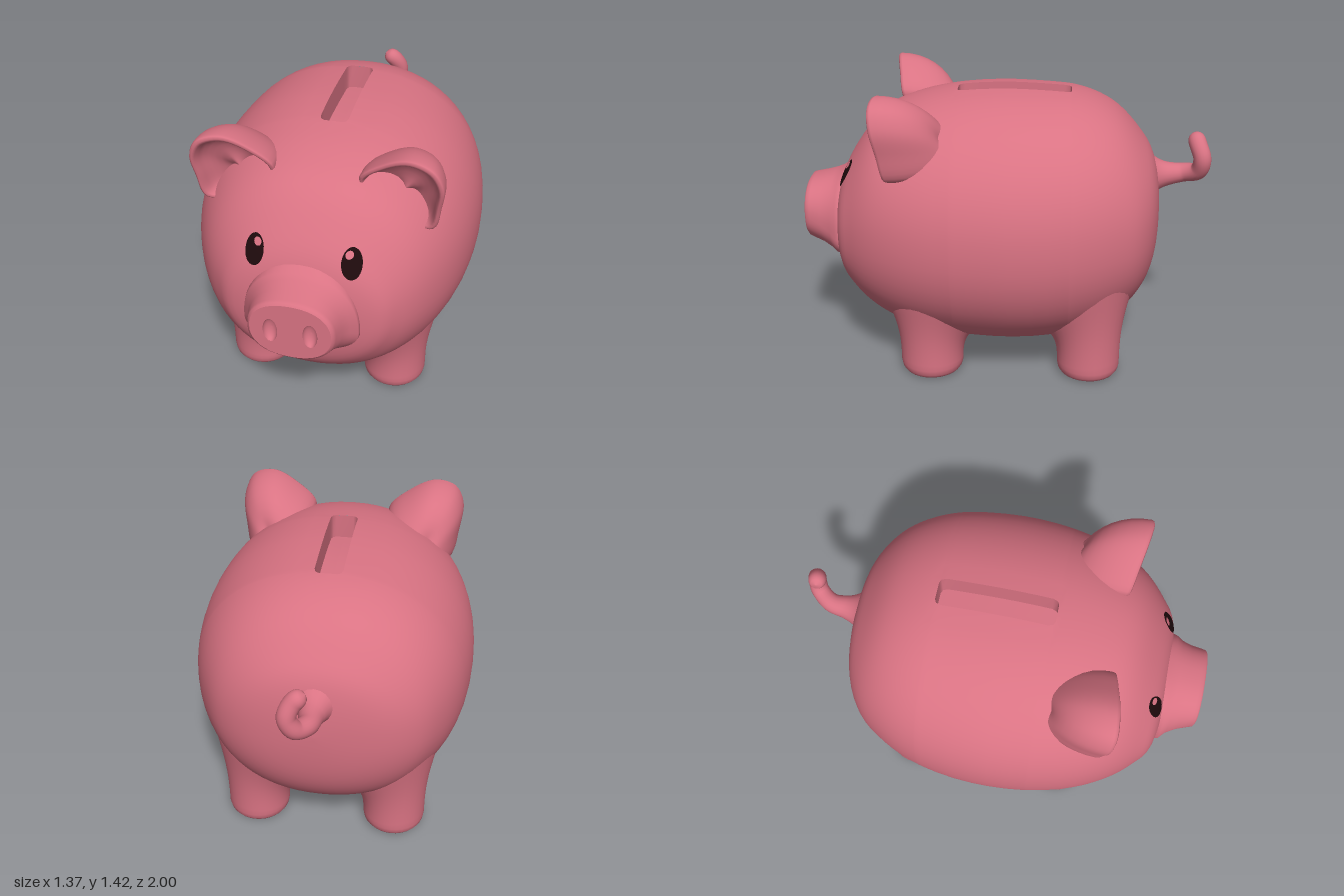
import * as THREE from 'three';

const pink = new THREE.MeshStandardMaterial({ color: 0xd97383 });
pink.name = 'pink';
const black = new THREE.MeshStandardMaterial({ color: 0x1e0a0c });
black.name = 'eyeBlack';

const V = (x, y, z) => new THREE.Vector3(x, y, z);
const TAU = Math.PI * 2;

// Skin over closed rings; rings run counter-clockwise around the direction of advance.
function loft(rings, { flip = false, skip = () => false } = {}) {
  const n = rings[0].length, index = [];
  for (let i = 0; i < rings.length - 1; i++) {
    for (let j = 0; j < n; j++) {
      if (skip(i, j)) continue;
      const a = i * n + j, b = i * n + (j + 1) % n, c = b + n, d = a + n;
      if (flip) index.push(a, d, b, b, d, c);
      else index.push(a, b, d, b, c, d);
    }
  }
  const geo = new THREE.BufferGeometry().setFromPoints(rings.flat());
  geo.setIndex(index);
  geo.computeVertexNormals();
  return geo;
}
const ringOf = (n, f) => Array.from({ length: n }, (_, j) => f(j / n * TAU, j));

// Body sections from tail to face, evenly spaced in angle: top, bottom, half width
const profile = new THREE.CatmullRomCurve3([
  [0.76, 0.76, 0], [1.01, 0.5, 0.28], [1.15, 0.33, 0.455], [1.275, 0.215, 0.56],
  [1.345, 0.14, 0.635], [1.365, 0.105, 0.675], [1.37, 0.1, 0.685], [1.355, 0.115, 0.665],
  [1.315, 0.15, 0.615], [1.24, 0.215, 0.535], [1.09, 0.315, 0.43], [0.93, 0.45, 0.31],
  [0.7, 0.7, 0],
].map(p => V(...p)), false, 'catmullrom', 0.5);
const MID = 0.04, HALF = 0.8, POW = 2.15;

function section(z) {
  const s = THREE.MathUtils.clamp((z - MID) / HALF, -1, 1);
  const p = profile.getPoint(Math.asin(s) / Math.PI + 0.5);
  return { c: (p.x + p.y) / 2, h: (p.x - p.y) / 2, w: Math.max(p.z, 0) };
}
// Height of the body surface above (side 1) or below (side -1) a point
function bodyY(x, z, side) {
  const { c, h, w } = section(z);
  return c + side * h * Math.pow(Math.max(0, 1 - Math.pow(Math.abs(x) / w, POW)), 1 / POW);
}
// Front surface of the body at x, y
function bodyZ(x, y) {
  let lo = 0.2, hi = MID + HALF;
  for (let k = 0; k < 30; k++) {
    const z = (lo + hi) / 2, { c, h, w } = section(z);
    const f = Math.pow(Math.abs(x) / w, POW) + Math.pow(Math.abs(y - c) / h, POW);
    if (f < 1) lo = z; else hi = z;
  }
  return lo;
}

// Coin slot outline
const SLOT0 = -0.315, SLOT1 = 0.24;
const slotZ = [0, 0.008, 0.03, 0.1, 0.19].map(o => SLOT0 + o);
slotZ.push(-0.03, 0.05, ...[0.1, 0.03, 0.008, 0].map(o => SLOT1 - o));
const slotHalf = z => {
  const e = Math.min(z - SLOT0, SLOT1 - z);
  return e < 0.004 ? 0.042 : e < 0.02 ? 0.058 : 0.066;
};

function bodyGeometry() {
  const N = 64, zs = [...slotZ];
  for (let i = 0; i <= 56; i++) {
    const z = MID + HALF * Math.sin((i / 56 - 0.5) * Math.PI);
    if (z < SLOT0 - 0.008 || z > SLOT1 + 0.008) zs.push(z);
  }
  zs.sort((a, b) => a - b);
  const inSlot = z => z >= SLOT0 && z <= SLOT1;
  const rings = zs.map(z => ringOf(N, (a, j) => {
    const { c, h, w } = section(z), s = Math.sin(a), k = Math.cos(a);
    if (inSlot(z) && (j === 1 || j === N - 1)) {
      const x = slotHalf(z) * (j === 1 ? -1 : 1);
      return V(x, bodyY(x, z, 1), z);
    }
    const e = 2 / POW;
    return V(-w * Math.sign(s) * Math.abs(s) ** e, c + h * Math.sign(k) * Math.abs(k) ** e, z);
  }));
  const skip = (i, j) => (j === 0 || j === N - 1) && inSlot(zs[i]) && inSlot(zs[i + 1]);
  return loft(rings, { skip });
}

// Walls and floor inside the coin slot
function slotGeometries() {
  const right = slotZ.map(z => V(slotHalf(z), bodyY(slotHalf(z), z, 1), z));
  const rim = [...right, ...right.map(p => V(-p.x, p.y, p.z)).reverse()];
  const floor = rim.map(p => V(p.x, p.y - 0.12, p.z));
  const centre = rim.map(p => V(0, p.y - 0.12, p.z));
  return [loft([rim, floor], { flip: true }), loft([floor, centre], { flip: true })];
}

// Leg that flares out onto the belly
function legGeometry(cx, cz) {
  const at = (r, y) => ringOf(32, a => V(cx + r * Math.cos(a), y, cz - r * Math.sin(a)));
  const rings = [at(0, 0), at(0.115, 0), at(0.138, 0.008), at(0.15, 0.025), at(0.155, 0.05)];
  for (let k = 1; k <= 10; k++) {
    const t = k / 10, r = 0.155 + 0.04 * t ** 3;
    rings.push(at(r, 0).map(p =>
      V(p.x, THREE.MathUtils.lerp(0.05, bodyY(p.x, p.z, -1) + 0.012, t), p.z)));
  }
  return loft(rings);
}

// Cupped ear: rounded back, soft rim, hollow front
function earGeometry(side) {
  const rim = new THREE.CatmullRomCurve3([
    [0.53, 1.05, 0.525], [0.562, 1.18, 0.55], [0.572, 1.3, 0.575], [0.525, 1.39, 0.585],
    [0.42, 1.42, 0.575], [0.3, 1.37, 0.555], [0.19, 1.265, 0.53], [0.28, 1.13, 0.49],
    [0.43, 1.04, 0.49],
  ].map(p => V(...p)), true).getPoints(48).slice(0, 48);
  const c = V(0.37, 1.17, 0);
  const ring = (s, dz) => rim.map(p =>
    V(side * (c.x + (p.x - c.x) * s), c.y + (p.y - c.y) * s, p.z + dz));
  const rings = [];
  for (let k = 0; k <= 10; k++) {
    const a = k / 10 * Math.PI / 2;
    rings.push(ring(Math.sin(a), -0.3 * Math.cos(a)));
  }
  rings.push(ring(0.98, 0.012), ring(0.93, 0.016), ring(0.88, 0.008));
  for (let k = 1; k <= 8; k++) {
    const a = k / 8 * Math.PI / 2;
    rings.push(ring(0.85 * Math.cos(a), -0.13 * Math.sin(a)));
  }
  return loft(rings, { flip: side < 0 });
}

// Snout whose lower base edge overhangs the chin as a smile: z, centre y, half width, up, down
const snoutRings = [
  [0.78, 0.64, 0.25, 0.33, 0.105], [0.82, 0.64, 0.27, 0.305, 0.13], [0.84, 0.645, 0.266, 0.285, 0.13],
  [0.87, 0.67, 0.237, 0.25, 0.142], [0.92, 0.7, 0.214, 0.207, 0.146],
  [0.975, 0.73, 0.2, 0.165, 0.156], [0.992, 0.735, 0.195, 0.156, 0.153], [1, 0.735, 0.184, 0.145, 0.143],
].map(([z, cy, rx, up, down]) => ringOf(48, a => {
  const k = Math.cos(a), s = Math.sin(a);
  return V(rx * Math.sign(k) * Math.abs(k) ** 0.88,
    cy + (s > 0 ? up : down) * Math.sign(s) * Math.abs(s) ** 0.88, z);
}));

function snoutFaceGeometry() {
  const shape = new THREE.Shape(snoutRings.at(-1).map(p => new THREE.Vector2(p.x, p.y)));
  for (const s of [-1, 1]) {
    shape.holes.push(new THREE.Path().absellipse(s * 0.09, 0.73, 0.033, 0.064, 0, TAU, true));
  }
  return new THREE.ShapeGeometry(shape, 24).translate(0, 0, 1);
}

// Curled tail with a flared root and rounded tip
function tailGeometry() {
  const path = new THREE.CatmullRomCurve3([
    [0, 0.92, -0.7], [0, 0.925, -0.8], [0.005, 0.935, -0.88], [0.05, 0.96, -0.945],
    [0.08, 1.03, -0.957], [0.05, 1.1, -0.935], [0, 1.135, -0.925],
  ].map(p => V(...p)));
  const n = 48, { normals, binormals } = path.computeFrenetFrames(n);
  const rings = normals.map((N, i) => {
    const t = i / n, p = path.getPointAt(t);
    let r = 0.043 + 0.09 * Math.exp(-t * 8);
    if (t > 0.9) r *= Math.sqrt(Math.max(0, 1 - ((t - 0.9) / 0.1) ** 2));
    return ringOf(20, a => p.clone()
      .addScaledVector(N, r * Math.cos(a)).addScaledVector(binormals[i], r * Math.sin(a)));
  });
  return loft(rings);
}

// Thin oval that follows the face
function decal(cx, cy, rx, ry, tilt, lift) {
  return loft([1, 0.66, 0.33, 0].map(s => ringOf(28, a => {
    const u = rx * s * Math.cos(a), v = ry * s * Math.sin(a);
    const x = cx + u * Math.cos(tilt) - v * Math.sin(tilt);
    const y = cy + u * Math.sin(tilt) + v * Math.cos(tilt);
    return V(x, y, bodyZ(x, y) + lift);
  })));
}

export function createModel() {
  const group = new THREE.Group();
  const add = (name, geo, mat = pink) => {
    const mesh = new THREE.Mesh(geo, mat);
    mesh.name = name;
    group.add(mesh);
    return mesh;
  };
  add('body', bodyGeometry());
  const [walls, floor] = slotGeometries();
  add('coinSlotWalls', walls);
  add('coinSlotFloor', floor);
  add('snout', loft(snoutRings));
  add('snoutFace', snoutFaceGeometry());
  add('tail', tailGeometry());

  // Hollow nostril bowl
  const bowl = [0, 1, 2, 3, 4, 5, 6].map(k =>
    new THREE.Vector2(Math.cos(k * Math.PI / 12), -Math.sin(k * Math.PI / 12)));
  for (const s of [-1, 1]) {
    const side = s > 0 ? 'left' : 'right';
    add(side + 'FrontLeg', legGeometry(s * 0.348, 0.36));
    add(side + 'BackLeg', legGeometry(s * 0.348, -0.42));
    add(side + 'Ear', earGeometry(s));
    add(side + 'Eye', decal(s * 0.22, 0.98, 0.045, 0.066, s * 0.12, 0.006), black);
    add(side + 'EyeHighlight', decal(s * 0.207, 1.017, 0.018, 0.017, 0, 0.009));
    const nostril = new THREE.LatheGeometry(bowl, 24).rotateX(Math.PI / 2).scale(0.033, 0.064, 0.03);
    add(side + 'Nostril', nostril.translate(s * 0.09, 0.73, 1));
  }
  return group;
}
